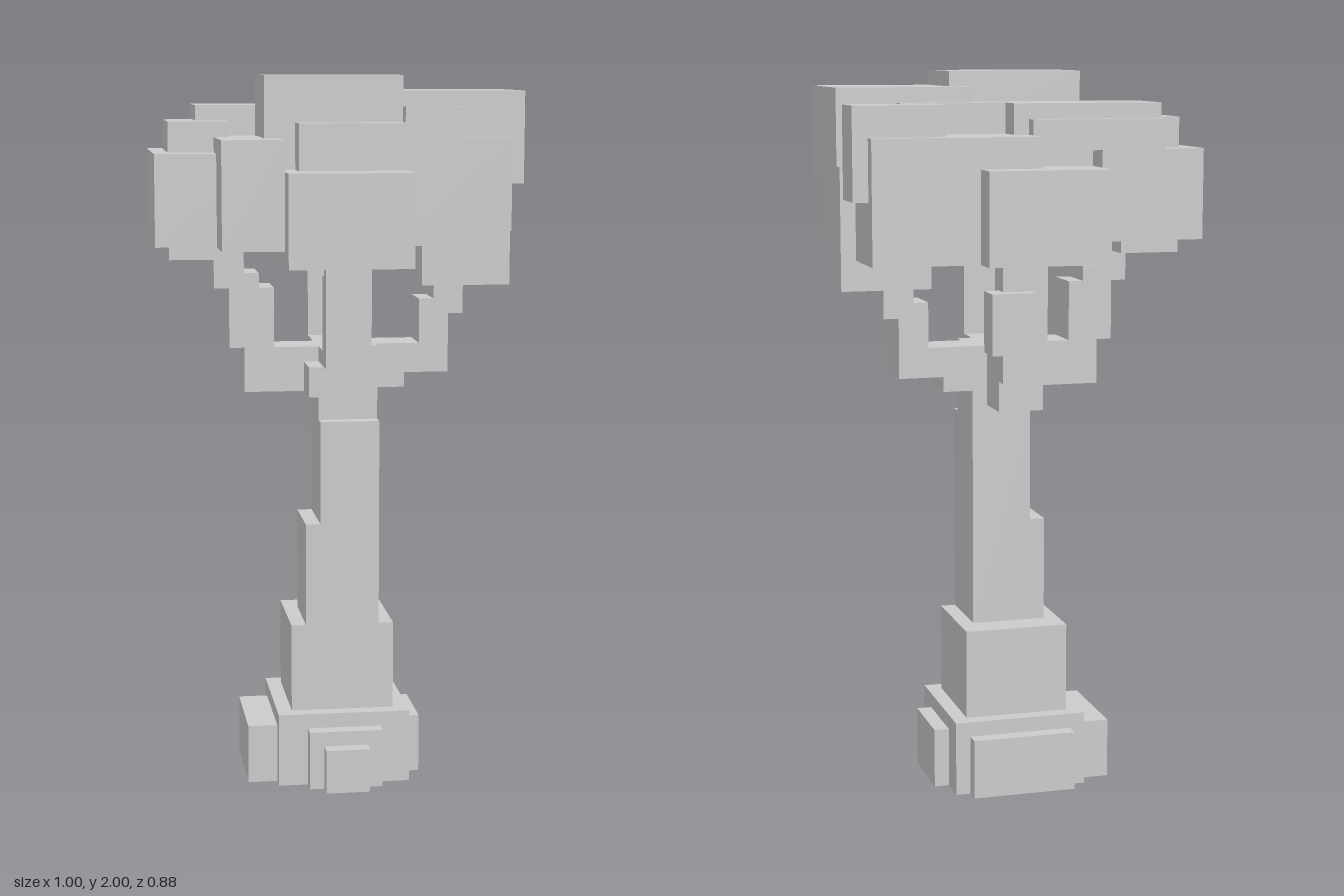
import * as THREE from 'three';

const U = 2 / 48; // one grid cell
const material = new THREE.MeshStandardMaterial({ color: 0xcccccc, flatShading: true });

// Box given by its limits in grid cells: x, y, z pairs
function block(x0, x1, y0, y1, z0, z1) {
  const mesh = new THREE.Mesh(
    new THREE.BoxGeometry((x1 - x0) * U, (y1 - y0) * U, (z1 - z0) * U), material);
  mesh.position.set((x0 + x1) / 2 * U, (y0 + y1) / 2 * U, (z0 + z1) / 2 * U);
  return mesh;
}

const parts = {
  // root base with a flare on every side
  roots: [
    [-4, 5, 0, 5, -5.5, 3.5],
    [-2, 3, 0, 4, 3.5, 4.5],
    [-1, 2, 0, 3, 4.5, 5.5],
    [-3, 4, 0, 4, -6.5, -5.5],
    [5, 6, 0, 4, -3.5, 1.5],
    [-6, -4, 0, 4, -4.5, 2.5],
  ],
  // trunk stepping in towards the top
  trunk: [
    [-3, 4, 5, 11, -4.5, 2.5],
    [-2, -1, 11, 18, -2.5, 2.5],
    [-1, 3, 11, 25, -2.5, 2.5],
    [-1, 3, 25, 30, -2.5, 1.5],
  ],
  frontBranch: [
    [-2, 2, 27, 29, 1.5, 4.5],
    [-1, 2, 29, 30, 1.5, 3.5],
    [-1, 2, 29, 35, 3.5, 5.5],
    [-1, 2, 35, 37, 4.5, 5.5],
  ],
  backBranch: [
    [-1, 2, 26, 30, -5.5, -2.5],
    [-1, 2, 28, 36, -6.5, -4.5],
    [0, 3, 30, 34, -7.5, -5.5],
  ],
  leftBranch: [
    [3, 5, 27, 30, -2.5, 0.5],
    [5, 8, 28, 30, -2.5, 0.5],
    [6, 8, 30, 33, -2.5, 0.5],
    [7, 9, 32, 34, -2.5, 0.5],
  ],
  rightBranch: [
    [-6, -1, 27, 30, -1.5, 1.5],
    [-6, -4, 29, 34, -1.5, 1.5],
    [-7, -5, 30, 35, -1.5, 1.5],
    [-8, -6, 34, 37, -1.5, 1.5],
  ],
  // overlapping leaf clumps
  canopy: [
    [-8, 6, 37, 44, -3.5, 5.5],      // core
    [-5, 4, 44, 48, -0.5, 5.5],      // top
    [3, 12, 41, 47, -2.5, 5.5],      // upper left
    [6, 12, 34, 42, -3.5, 1.5],      // lower left
    [4, 11, 38, 44, -2.5, 6.5],      // front left
    [4, 8, 44, 46, 2.5, 6.5],
    [-4, 4, 36, 42, 4.5, 10.5],      // front
    [-3, 4, 42, 45, 3.5, 7.5],
    [-8, -4, 37, 44, 3.5, 8.5],      // front right
    [-12, -5, 37, 43, -5.5, 4.5],    // right
    [-11, -7, 36, 45, -3.5, 2.5],
    [-9, 1, 43, 46, -5.5, -0.5],     // upper back
    [-9, 0, 43, 45, -6.5, -5.5],
    [1, 8, 42, 46, -3.5, -0.5],
    [0, 11, 36, 44, -8.5, -3.5],     // back left
    [6, 12, 40, 46, -7.5, -4.5],
    [-4, 4, 36, 42, -10.5, -6.5],    // back
    [-4, 0, 37, 43, -6.5, -3.5],
  ],
};

export function createModel() {
  const model = new THREE.Group();
  model.name = 'blockTree';
  for (const [name, boxes] of Object.entries(parts)) {
    const group = new THREE.Group();
    group.name = name;
    for (const limits of boxes) group.add(block(...limits));
    model.add(group);
  }
  return model;
}
